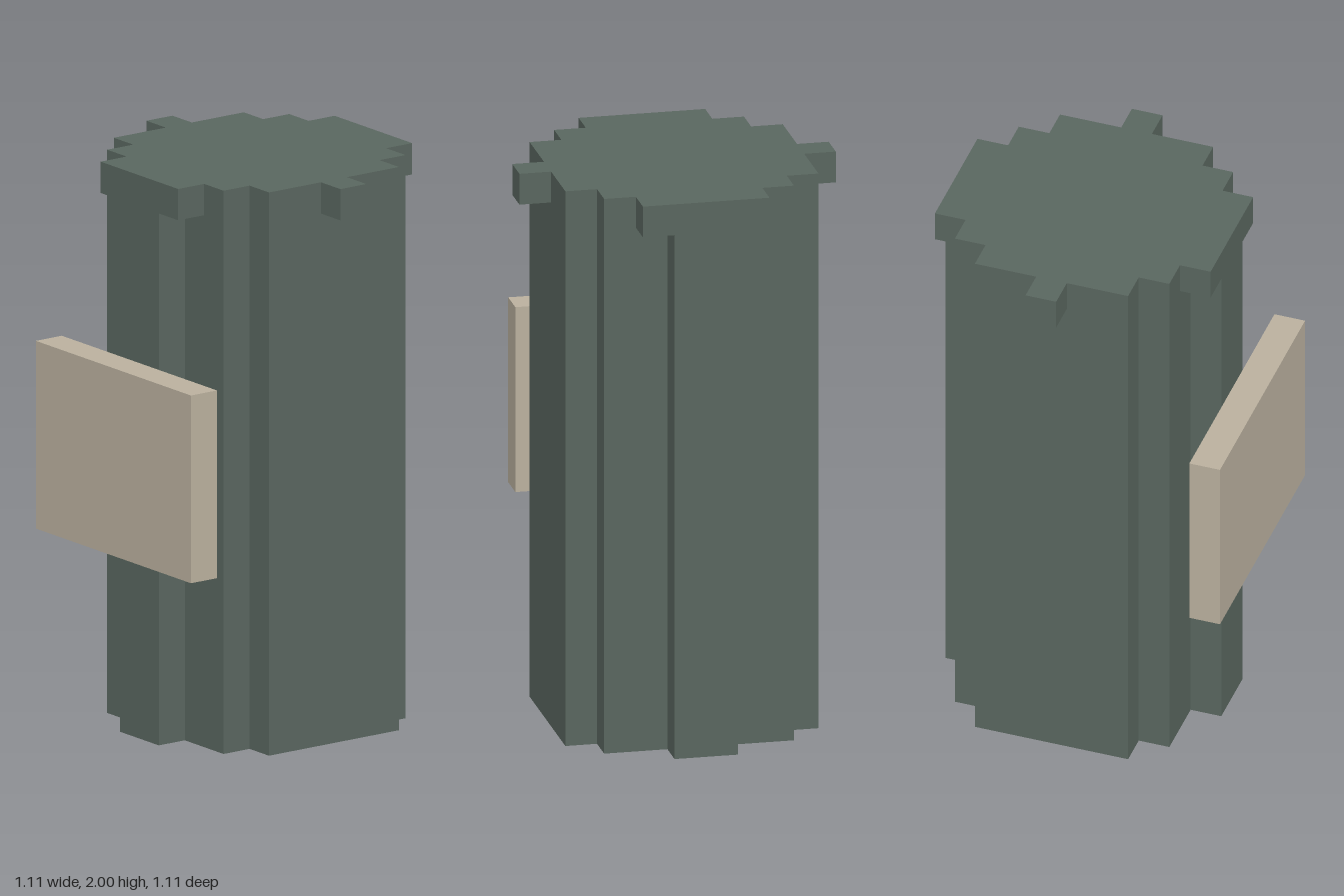
import * as THREE from 'three';

const U = 1 / 9; // one block

// Stepped outline, mirrored in both axes, from [half width, half depth] steps
function steppedOutline(steps) {
  const quarter = [];
  steps.forEach(([x, z], i) => {
    quarter.push([x, z]);
    if (i + 1 < steps.length) quarter.push([x, steps[i + 1][1]]);
  });
  const mirror = (sx, sz, flip) => {
    const pts = quarter.map(([x, z]) => new THREE.Vector2(x * sx * U, z * sz * U));
    return flip ? pts.reverse() : pts;
  };
  return new THREE.Shape([
    ...mirror(1, 1, false), ...mirror(1, -1, true),
    ...mirror(-1, -1, false), ...mirror(-1, 1, true),
  ]);
}

// Upright prism between two heights, its centre half a block back
function prism(name, steps, bottom, top, material) {
  const geometry = new THREE.ExtrudeGeometry(steppedOutline(steps), {
    depth: (top - bottom) * U, bevelEnabled: false,
  });
  geometry.rotateX(-Math.PI / 2);
  geometry.translate(0, bottom * U, -U / 2);
  const mesh = new THREE.Mesh(geometry, material);
  mesh.name = name;
  return mesh;
}

export function createModel() {
  const green = new THREE.MeshStandardMaterial({ color: 0x59665f });
  green.name = 'dark grey green';
  const tan = new THREE.MeshStandardMaterial({ color: 0xbab09e });
  tan.name = 'pale tan';

  const group = new THREE.Group();
  group.name = 'cannister';

  // Ribbed body and the wider rim with its four lugs
  group.add(prism('body', [[1, 4.5], [3, 3.5], [4, 2.5]], 0, 17, green));
  group.add(prism('rim', [[2, 4.5], [3, 3.5], [4, 2.5], [5, 0.5]], 17, 18, green));

  // Label plate on the front
  const label = new THREE.Mesh(new THREE.BoxGeometry(8 * U, 6 * U, U), tan);
  label.name = 'frontPlate';
  label.position.set(0, 9 * U, 4.5 * U);
  group.add(label);

  return group;
}
